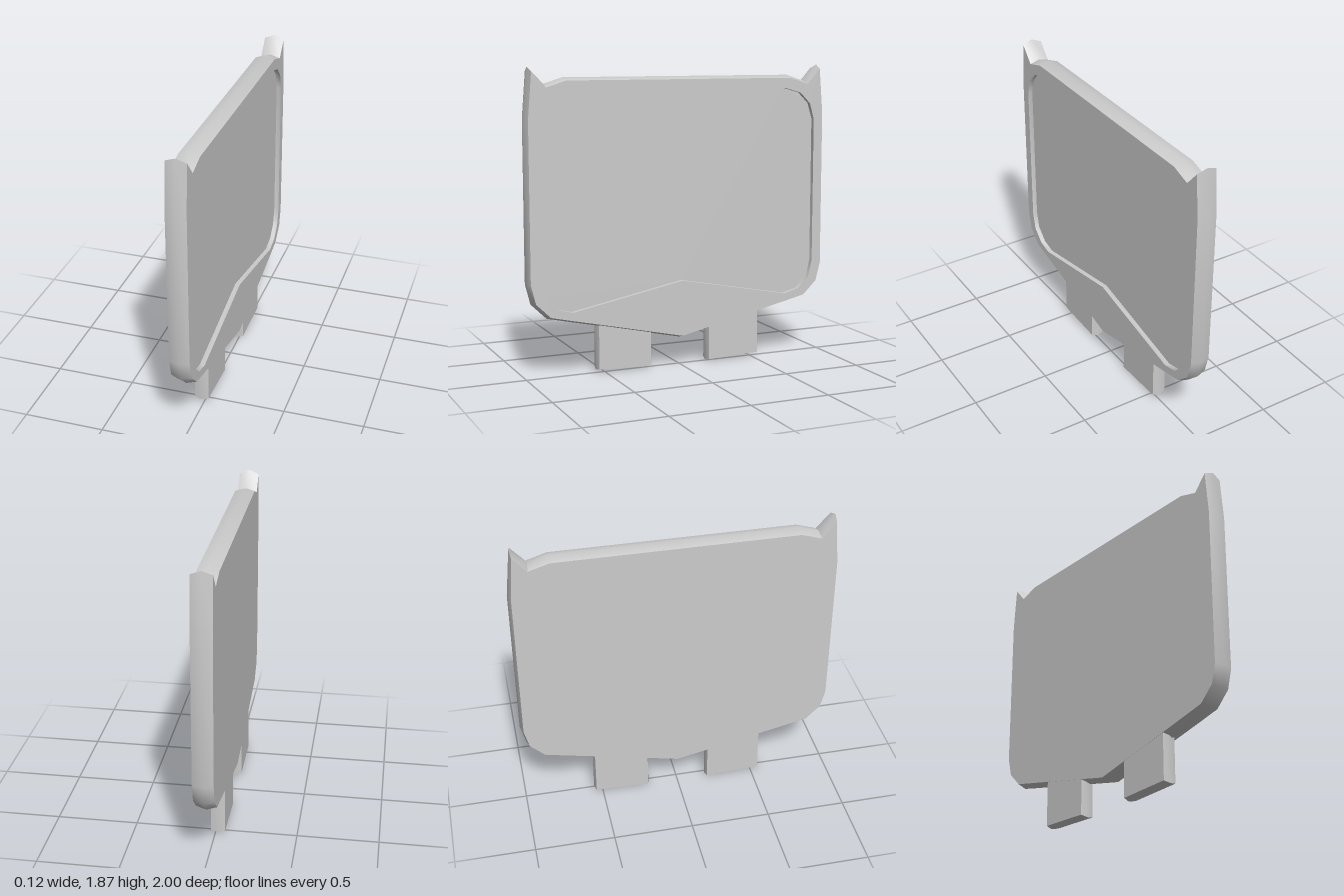
import * as THREE from 'three';
import { mergeGeometries, toCreasedNormals } from 'three/addons/utils/BufferGeometryUtils.js';

const HALF = 0.0625; // half thickness of the panel
const material = new THREE.MeshStandardMaterial({ color: 0xcccccc });

// Mirror a half outline (bottom centre point first) into a closed counter-clockwise loop
function mirrorLoop(half) {
  const pts = half.map(([x, y]) => new THREE.Vector2(x, y));
  const other = pts.filter((p) => p.x > 0).reverse().map((p) => new THREE.Vector2(-p.x, p.y));
  return [...pts, ...other];
}

// Move a counter-clockwise loop inwards, limiting the mitre at sharp tips
function inset(loop, d) {
  const n = loop.length;
  return loop.map((p, i) => {
    const a = p.clone().sub(loop[(i + n - 1) % n]).normalize();
    const b = loop[(i + 1) % n].clone().sub(p).normalize();
    const dir = new THREE.Vector2(-a.y - b.y, a.x + b.x).normalize();
    const mitre = d / Math.max(0.7, dir.dot(new THREE.Vector2(-a.y, a.x)));
    return p.clone().addScaledVector(dir, mitre);
  });
}

// Wall between two loops of equal length
function wall(a, za, b, zb) {
  const n = a.length;
  const pos = [], idx = [];
  a.forEach((p) => pos.push(p.x, p.y, za));
  b.forEach((p) => pos.push(p.x, p.y, zb));
  for (let i = 0; i < n; i++) {
    const j = (i + 1) % n;
    idx.push(i, j, n + j, i, n + j, n + i);
  }
  const g = new THREE.BufferGeometry();
  g.setAttribute('position', new THREE.Float32BufferAttribute(pos, 3));
  g.setIndex(idx);
  return g;
}

// Flat face filling a loop, with an optional hole
function cap(loop, z, back = false, hole = null) {
  const shape = new THREE.Shape(loop);
  if (hole) shape.holes.push(new THREE.Path(hole));
  const g = new THREE.ShapeGeometry(shape).translate(0, 0, z);
  g.deleteAttribute('normal');
  g.deleteAttribute('uv');
  if (back) g.index.array.reverse();
  return g;
}

// Plate whose edge is chamfered to a ridge halfway through its thickness
function plate(loop, z0, z1, bevel, hole = null) {
  const inner = inset(loop, bevel);
  return [
    cap(inner, z0, true),
    wall(inner, z0, loop, (z0 + z1) / 2),
    wall(loop, (z0 + z1) / 2, inner, z1),
    cap(inner, z1, false, hole),
  ];
}

function part(name, geometries) {
  const g = toCreasedNormals(mergeGeometries(geometries), 0.9).rotateY(Math.PI / 2);
  const mesh = new THREE.Mesh(g, material);
  mesh.name = name;
  return mesh;
}

export function createModel() {
  const group = new THREE.Group();
  group.name = 'panel';

  // Framed panel with pointed chin and two top horns
  const outline = mirrorLoop([
    [0, 0.175], [0.55, 0.298], [0.74, 0.34], [0.87, 0.37], [0.968, 0.465], [1, 0.59],
    [1, 1.57], [0.967, 1.875], [0.868, 1.775], [0.75, 1.812],
  ]);
  const opening = mirrorLoop([
    [0, 0.545], [0.72, 0.405], [0.82, 0.43], [0.895, 0.505], [0.92, 0.61],
    [0.92, 1.53], [0.89, 1.63], [0.82, 1.70], [0.71, 1.73],
  ]);
  const floor = HALF - 0.03;
  group.add(part('frame', plate(outline, -HALF, HALF, 0.018, opening)));

  // Recessed face inside the frame
  group.add(part('recessedFace', [wall(opening, HALF, opening, floor), cap(opening, floor)]));

  // Two short legs, set towards the back face
  for (const side of [1, -1]) {
    const leg = [[0.19, 0.003], [0.553, 0.017], [0.553, 0.36], [0.19, 0.36]]
      .map(([x, y]) => new THREE.Vector2(side * x, y));
    if (side < 0) leg.reverse();
    group.add(part(side > 0 ? 'backLeg' : 'frontLeg', plate(leg, -HALF + 0.001, 0.026, 0.01)));
  }
  return group;
}
